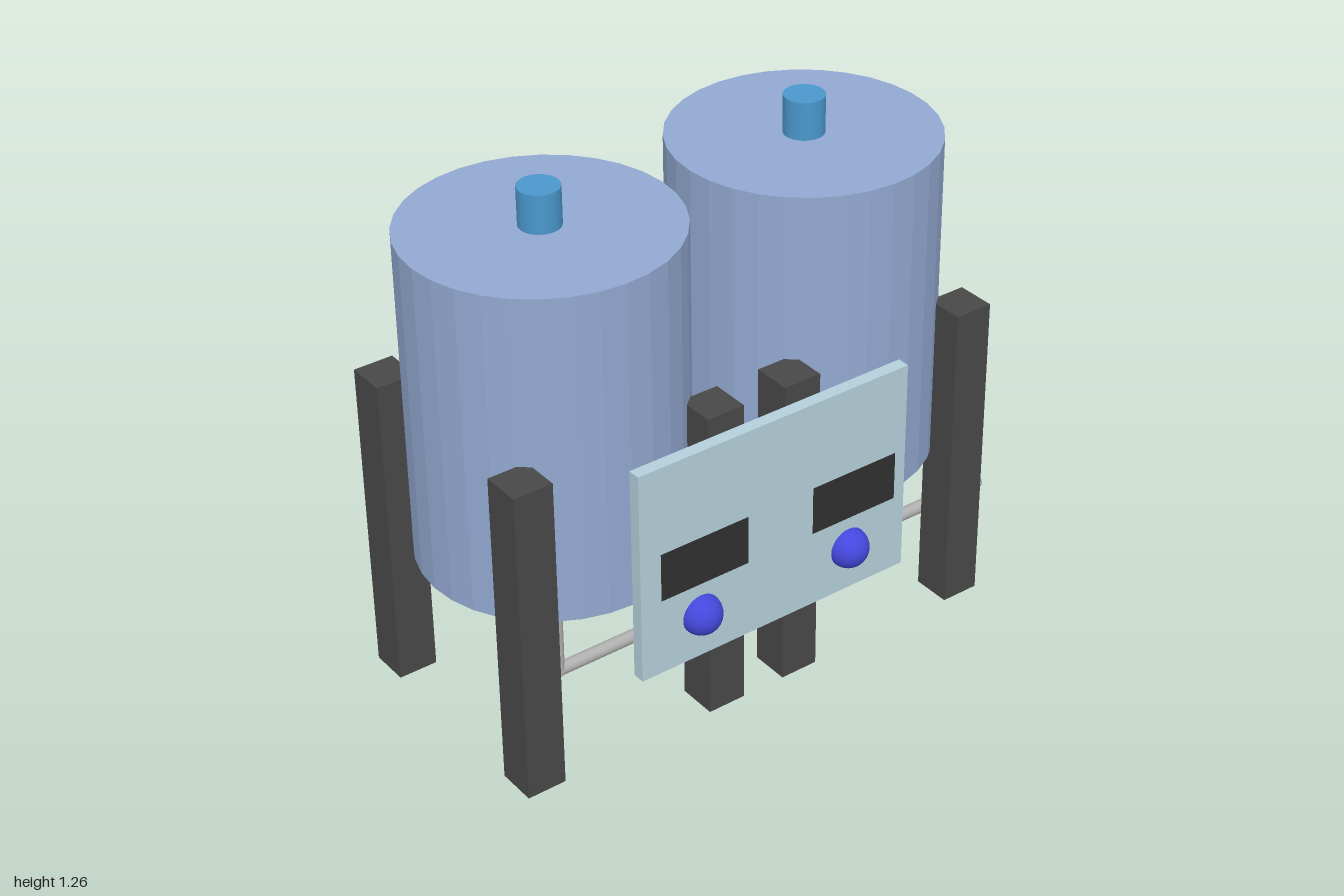
import * as THREE from 'three';

const mat = (color, flatShading = false) => new THREE.MeshStandardMaterial({ color, flatShading });
const MATS = {
  tank: mat(0x93a9d1, true),
  cone: mat(0x61738f, true),
  motor: mat(0x4a98cc, true),
  leg: mat(0x484848),
  pipe: mat(0xb0b0b0),
  panel: mat(0xb5d0dc),
  display: mat(0x303030),
  knob: mat(0x4448dd),
};
MATS.display.side = THREE.DoubleSide;

function add(parent, name, geometry, material, x, y, z) {
  const mesh = new THREE.Mesh(geometry, material);
  mesh.name = name;
  mesh.position.set(x, y, z);
  parent.add(mesh);
  return mesh;
}

// Upright cylinder or frustum spanning y0 to y1
function upright(parent, name, material, rTop, rBottom, y0, y1, z = 0, sides = 32) {
  const geometry = new THREE.CylinderGeometry(rTop, rBottom, y1 - y0, sides);
  return add(parent, name, geometry, material, 0, (y0 + y1) / 2, z);
}

// Hopper tank on four legs, with its drain and mixer motor
function dosingTank(name, x) {
  const tank = new THREE.Group();
  tank.name = name;
  tank.position.set(x, 0, -0.047);
  upright(tank, 'tankBody', MATS.tank, 0.307, 0.307, 0.39, 1.175);
  upright(tank, 'tankCone', MATS.cone, 0.307, 0.061, 0.225, 0.39);
  upright(tank, 'mixerMotor', MATS.motor, 0.047, 0.047, 1.175, 1.265);
  upright(tank, 'drainPipe', MATS.pipe, 0.016, 0.016, 0.01, 0.225, -0.006, 16);
  for (const sx of [-1, 1]) {
    for (const sz of [-1, 1]) {
      add(tank, 'leg', new THREE.BoxGeometry(0.095, 0.775, 0.095), MATS.leg,
        sx * 0.242, 0.3925, sz * 0.262);
    }
  }
  return tank;
}

export function createModel() {
  const model = new THREE.Group();
  model.name = 'dosingStation';
  model.add(dosingTank('leftTank', -0.691), dosingTank('rightTank', -0.002));

  // Shared outlet pipe under both tanks
  const outlet = add(model, 'outletPipe', new THREE.CylinderGeometry(0.016, 0.016, 1.27, 16),
    MATS.pipe, -0.06, 0.02, -0.053);
  outlet.rotation.z = Math.PI / 2;

  // Control panel with a display and a knob for each tank
  const panel = new THREE.Group();
  panel.name = 'controlPanel';
  add(panel, 'panelBoard', new THREE.BoxGeometry(0.72, 0.526, 0.03), MATS.panel, -0.35, 0.485, 0.295);
  for (const x of [-0.553, -0.147]) {
    add(panel, 'display', new THREE.PlaneGeometry(0.23, 0.12), MATS.display, x, 0.485, 0.326);
    add(panel, 'knob', new THREE.SphereGeometry(0.048, 32, 16), MATS.knob, x, 0.333, 0.31);
  }
  model.add(panel);
  return model;
}
